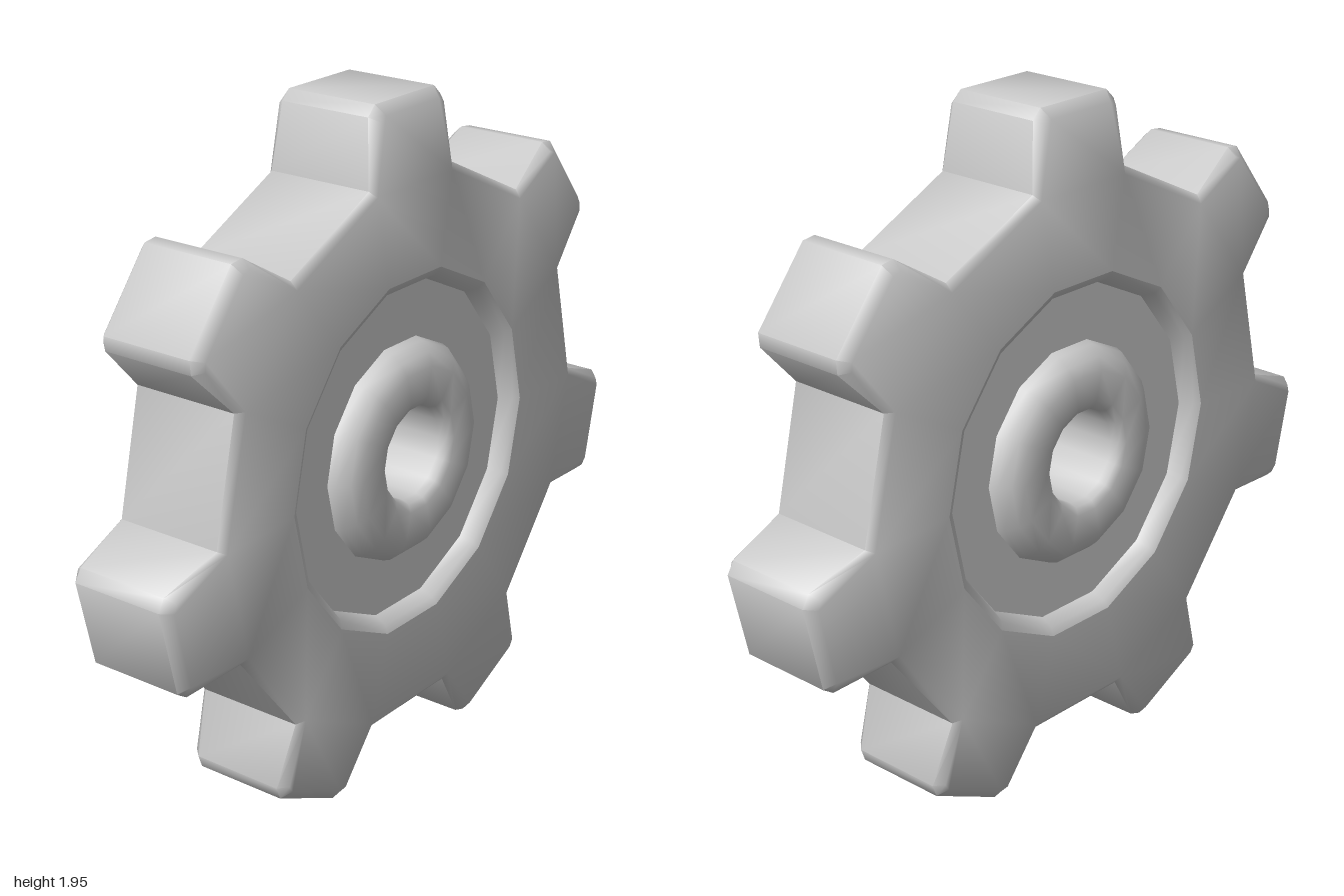
import * as THREE from 'three';
import { toCreasedNormals } from 'three/addons/utils/BufferGeometryUtils.js';

const TEETH = 7;
const CREASE = 0.93;
const CENTRE_Y = 0.954;

// One closed loop from half a tooth (root, side, tip as [x, y, z]),
// mirrored and repeated around the wheel
function toothLoop(half, flip) {
  const tooth = [...half, ...half.map(([x, y, z]) => [-x, y, z]).reverse()];
  const loop = [];
  for (let t = 0; t < TEETH; t++) {
    const a = (t / TEETH) * Math.PI * 2;
    for (const [x, y, z] of tooth) {
      loop.push(new THREE.Vector3(x, y, flip ? -z : z).applyAxisAngle(new THREE.Vector3(0, 0, 1), a));
    }
  }
  return loop;
}

// Skin between successive loops, skipping collapsed triangles
function loft(loops) {
  const pos = [];
  const tri = (a, b, c) => {
    const area = b.clone().sub(a).cross(c.clone().sub(a)).length();
    if (area > 1e-7) for (const p of [a, b, c]) pos.push(p.x, p.y, p.z);
  };
  for (let k = 0; k < loops.length - 1; k++) {
    const a = loops[k], b = loops[k + 1], n = a.length;
    for (let i = 0; i < n; i++) {
      const j = (i + 1) % n;
      tri(a[i], b[i], b[j]);
      tri(a[i], b[j], a[j]);
    }
  }
  const g = new THREE.BufferGeometry();
  g.setAttribute('position', new THREE.Float32BufferAttribute(pos, 3));
  return toCreasedNormals(g, CREASE);
}

// 14-sided turned part around the z axis, flats lined up with the teeth
function turned(profile) {
  const sides = TEETH * 2;
  const g = new THREE.LatheGeometry(profile.map(([r, z]) => new THREE.Vector2(r, z)), sides, Math.PI / sides);
  g.rotateX(Math.PI / 2);
  return toCreasedNormals(g, CREASE);
}

const mirrored = (profile) => profile.map(([r, z]) => [r, -z]).reverse();

export function createModel() {
  const model = new THREE.Group();
  const material = new THREE.MeshStandardMaterial({ color: 0xcccccc });
  const add = (name, geometry) => {
    const mesh = new THREE.Mesh(geometry, material);
    mesh.name = name;
    mesh.position.y = CENTRE_Y;
    model.add(mesh);
  };

  // Toothed body: face ring, tooth roots, bevel, outer walls
  const rimR = 0.52, half = Math.PI / (TEETH * 2);
  const rim = [rimR * Math.sin(half), rimR * Math.cos(half), 0.18];
  const root = [0.165, 0.765, 0.178];
  const sections = [
    [rim, rim, rim],
    [root, root, root],
    [root, [0.137, 0.955, 0.166], [0.116, 0.968, 0.166]],
    [[0.18, 0.782, 0.16], [0.157, 0.968, 0.14], [0.128, 0.996, 0.14]],
  ];
  add('toothedBody', loft([
    ...sections.map((s) => toothLoop(s, false)),
    ...sections.map((s) => toothLoop(s, true)).reverse(),
  ]));

  // Round recess on each face
  const recess = [[rimR, 0.18], [0.498, 0.168], [0.48, 0.13], [0.31, 0.13]];
  add('frontRecess', turned(recess));
  add('backRecess', turned(mirrored(recess)));

  // Raised hub with a through bore
  const hub = [[0.32, 0.13], [0.312, 0.152], [0.285, 0.182], [0.25, 0.198], [0.165, 0.198], [0.143, 0.187], [0.136, 0.165]];
  add('hubAndBore', turned([...hub, ...mirrored(hub)]));

  return model;
}
